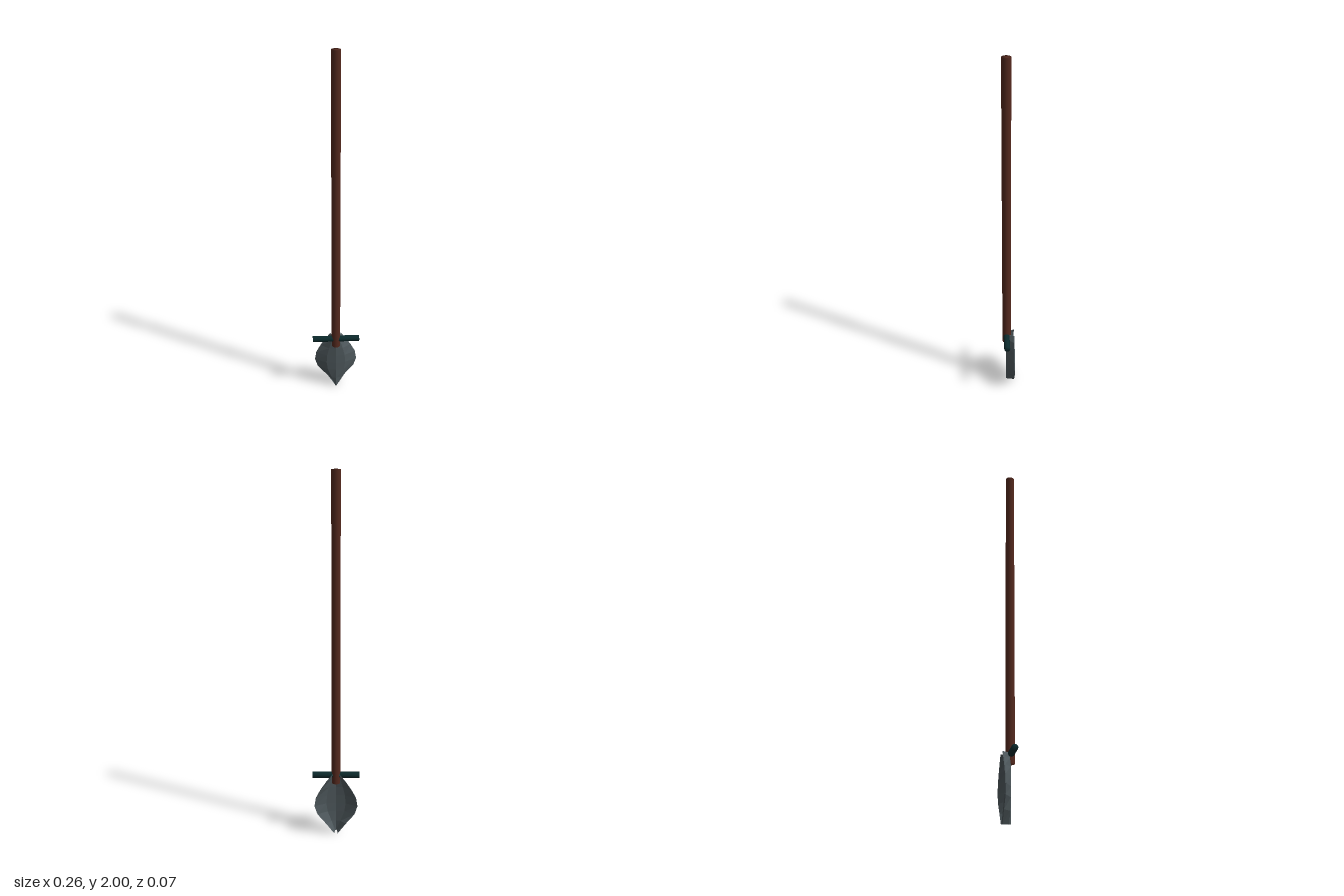
import * as THREE from 'three';
import { mergeVertices } from 'three/addons/utils/BufferGeometryUtils.js';

const makeMaterial = (name, color) => {
  const m = new THREE.MeshStandardMaterial({ color });
  m.name = name;
  return m;
};

// Closed rod whose normals blend softly over the end caps
function softRod(radius, length, sides) {
  let g = new THREE.CylinderGeometry(radius, radius, length, sides);
  g.deleteAttribute('normal');
  g.deleteAttribute('uv');
  g = mergeVertices(g, 1e-4);
  g.computeVertexNormals();
  return g;
}

// Leaf-shaped blade folded back along a central ridge, lofted through [height, half width] rows
function bladeGeometry() {
  const rows = [[0, 0.01], [0.06, 0.055], [0.12, 0.104], [0.17, 0.12],
    [0.22, 0.112], [0.27, 0.086], [0.32, 0.053], [0.35, 0.03]];
  const section = [[-1, -0.03], [-0.45, 0.004], [0, 0.012], [0.45, 0.004], [1, -0.03]];
  const thickness = 0.005;
  const loop = [...section, ...[...section].reverse().map(([t, z]) => [t, z - thickness])];
  const n = loop.length;
  const positions = [], index = [];
  for (const [y, w] of rows) for (const [t, z] of loop) positions.push(t * w, y, z);
  const quad = (a, b, c, d) => index.push(a, b, c, a, c, d);

  // Skin
  for (let i = 0; i < rows.length - 1; i++) {
    for (let j = 0; j < n; j++) {
      const k = (j + 1) % n;
      quad(i * n + j, i * n + k, (i + 1) * n + k, (i + 1) * n + j);
    }
  }
  // Thin ends
  const top = (rows.length - 1) * n;
  for (let j = 0; j < section.length - 1; j++) {
    quad(top + j, top + j + 1, top + n - 2 - j, top + n - 1 - j);
    quad(n - 1 - j, n - 2 - j, j + 1, j);
  }
  const g = new THREE.BufferGeometry();
  g.setAttribute('position', new THREE.Float32BufferAttribute(positions, 3));
  g.setIndex(index);
  const faceted = g.toNonIndexed();
  faceted.computeVertexNormals();
  return faceted;
}

export function createModel() {
  const wood = makeMaterial('dark brown wood', 0x54291e);
  const teal = makeMaterial('dark teal', 0x0c2a2c);
  const steel = makeMaterial('grey steel', 0x4f595d);

  const model = new THREE.Group();
  model.name = 'spade';
  const add = (name, geometry, material) => {
    const mesh = new THREE.Mesh(geometry, material);
    mesh.name = name;
    model.add(mesh);
    return mesh;
  };

  // Long shaft
  add('shaft', softRod(0.024, 1.705, 12), wood).position.set(0, 1.1475, 0.009);

  // Foot bar across the shaft
  const bar = add('crossbar', softRod(0.017, 0.264, 12), teal);
  bar.rotation.z = Math.PI / 2;
  bar.position.set(0, 0.342, 0.01);

  // Blade
  add('blade', bladeGeometry(), steel);

  return model;
}
